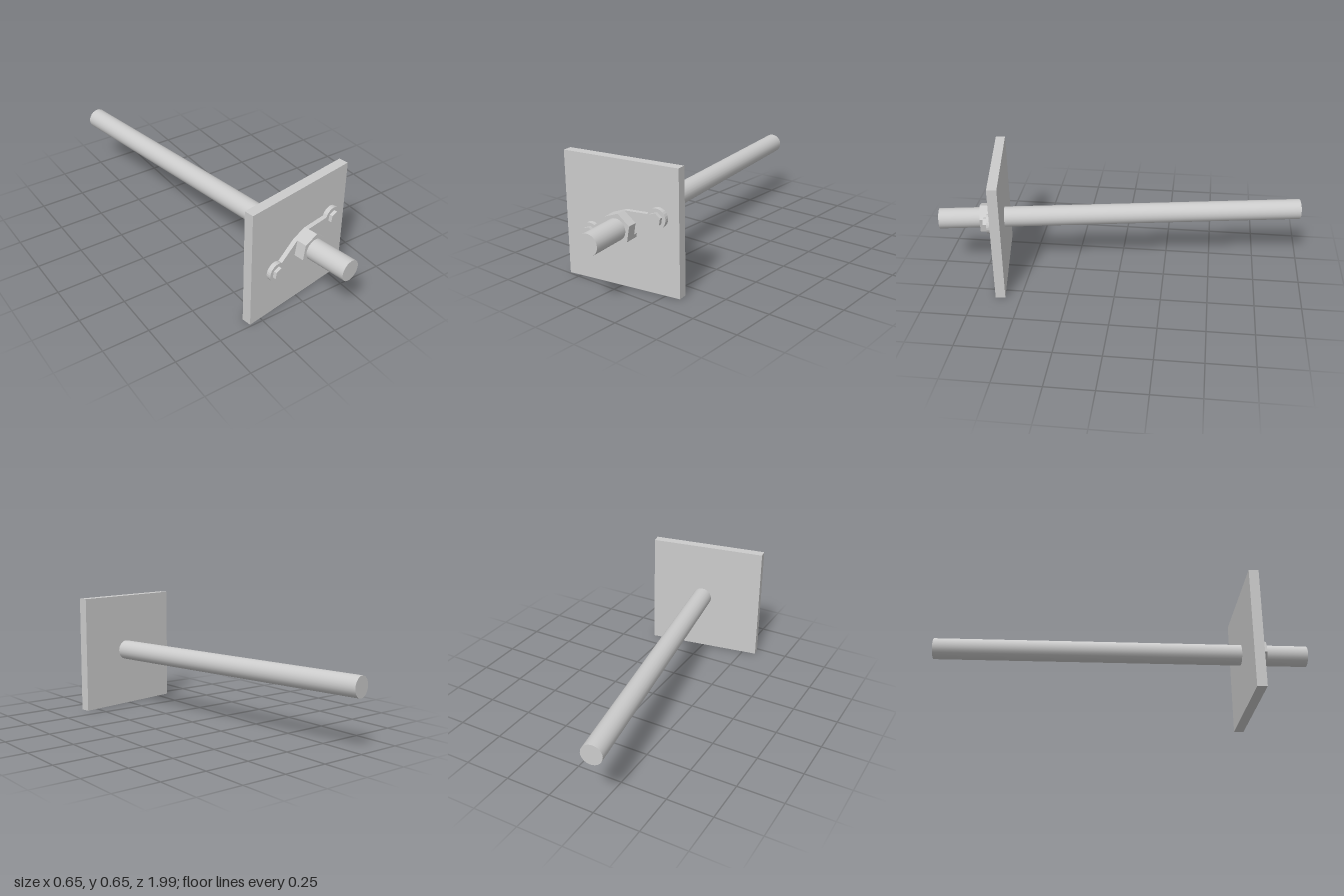
import * as THREE from 'three';

const HALF = 0.3275;   // half the plate's width
const FRONT = 0.026;   // front face of the plate
const ROD_X = 0.022;   // rod axis, measured across the plate
const BOLT_R = 0.207;  // distance of bolts from the rod axis

export function createModel() {
  const material = new THREE.MeshStandardMaterial({ color: 0xcccccc });
  const root = new THREE.Group();
  root.name = 'flangedRodThroughPlate';

  function add(parent, name, geometry, x = 0, y = 0, z = 0) {
    const mesh = new THREE.Mesh(geometry, material);
    mesh.name = name;
    mesh.position.set(x, y, z);
    parent.add(mesh);
    return mesh;
  }

  // Prism along z with a corner pointing along +x, between depths z0 and z1
  function hexPrism(radius, z0, z1) {
    const points = [];
    for (let i = 0; i < 6; i++) {
      const a = (i * Math.PI) / 3;
      points.push(new THREE.Vector2(radius * Math.cos(a), radius * Math.sin(a)));
    }
    return new THREE.ExtrudeGeometry(new THREE.Shape(points), { depth: z1 - z0, bevelEnabled: false })
      .translate(0, 0, z0);
  }

  // The whole assembly is turned slightly about the vertical
  const assembly = new THREE.Group();
  assembly.name = 'assembly';
  assembly.position.set(0, HALF, 0.662);
  assembly.rotation.y = 0.162;
  root.add(assembly);

  // Square wall plate
  add(assembly, 'plate', new THREE.BoxGeometry(HALF * 2 / Math.cos(0.162) - 0.0085, HALF * 2, FRONT * 2));

  // Long round rod through the plate
  const rod = new THREE.CylinderGeometry(0.056, 0.056, 2.0, 24).rotateX(Math.PI / 2);
  add(assembly, 'rod', rod, ROD_X, 0.001, -0.67);

  // Bolted flange, tilted about the rod axis
  const flange = new THREE.Group();
  flange.name = 'flange';
  flange.position.set(ROD_X, 0.001, 0);
  flange.rotation.z = THREE.MathUtils.degToRad(20);
  assembly.add(flange);

  // Flange outline: tapered arms from the hub to a round lobe at each bolt
  const hubR = 0.083;
  const cx = hubR * 0.5, cy = hubR * Math.sin(Math.PI / 3);
  const a = THREE.MathUtils.degToRad(143);
  const outline = new THREE.Shape();
  outline.moveTo(cx, -cy);
  outline.absarc(BOLT_R, 0, 0.051, -a, a, false);
  outline.lineTo(cx, cy);
  outline.lineTo(-cx, cy);
  outline.absarc(-BOLT_R, 0, 0.051, Math.PI - a, Math.PI + a, false);
  outline.lineTo(-cx, -cy);
  outline.closePath();
  const base = new THREE.ExtrudeGeometry(outline, { depth: 0.024, bevelEnabled: false, curveSegments: 10 });
  add(flange, 'flangeBase', base, 0, 0, FRONT);

  // Hexagonal hub around the rod
  add(flange, 'hub', hexPrism(hubR, FRONT, 0.105));

  // Hex bolt heads
  for (const [side, name] of [[-1, 'rightBoltHead'], [1, 'leftBoltHead']]) {
    add(flange, name, hexPrism(0.035, 0.045, 0.069), side * BOLT_R);
  }

  return root;
}
